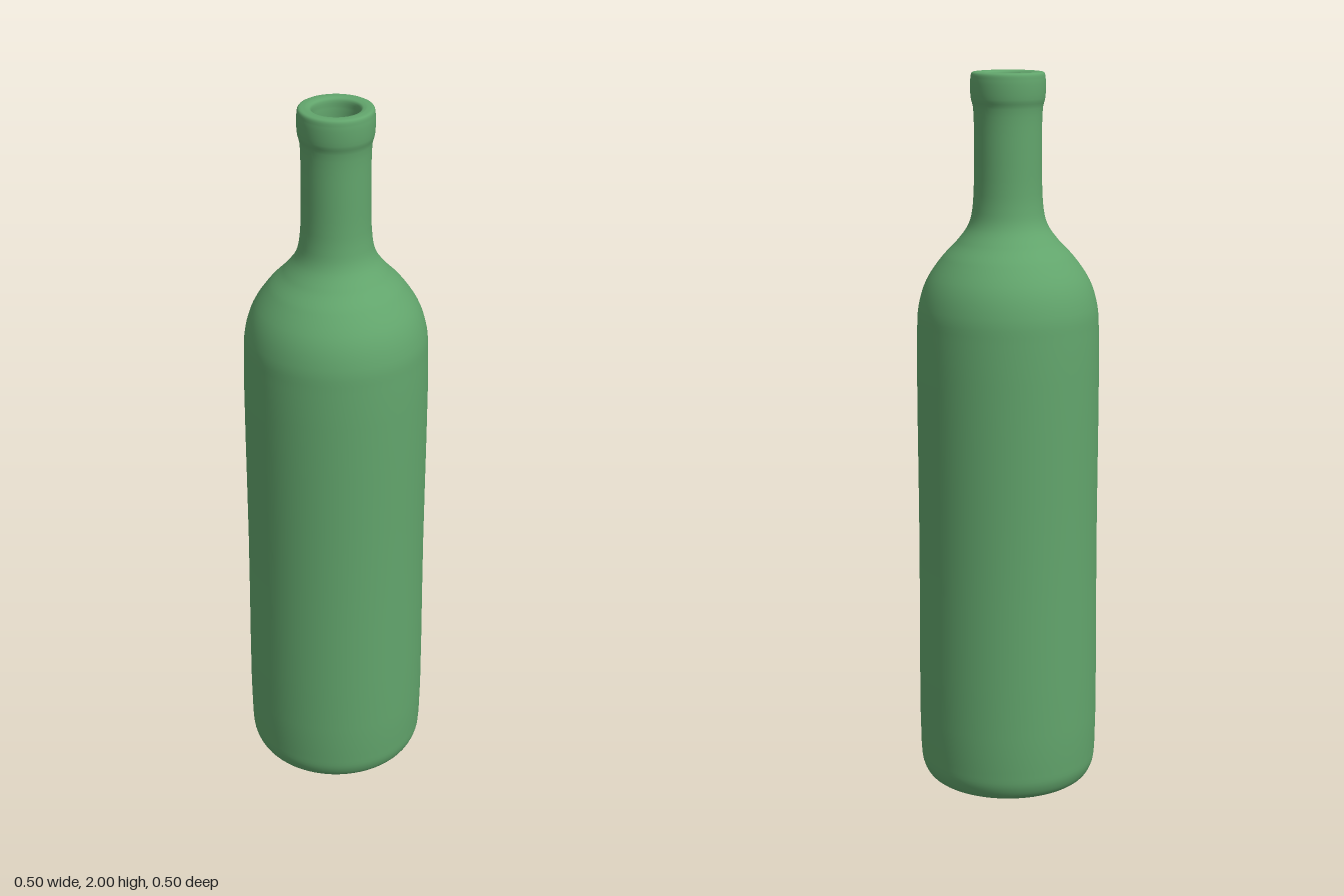
import * as THREE from 'three';

const SIDES = 64, STEPS = 4; // around the axis, rows per profile point

// Paired wall profile from lip to base centre: outer r, outer y, inner r, inner y
const WALL = [
  [0.08, 2.0, 0.08, 2.0],
  [0.097, 1.997, 0.066, 1.995],
  [0.101, 1.98, 0.063, 1.97],
  [0.1, 1.93, 0.063, 1.93],
  [0.094, 1.905, 0.063, 1.905],
  [0.092, 1.8, 0.063, 1.8],
  [0.096, 1.64, 0.065, 1.64],
  [0.108, 1.59, 0.078, 1.575],
  [0.14, 1.545, 0.115, 1.525],
  [0.182, 1.5, 0.158, 1.477],
  [0.225, 1.435, 0.197, 1.42],
  [0.245, 1.37, 0.216, 1.36],
  [0.25, 1.3, 0.22, 1.3],
  [0.25, 0.7, 0.22, 0.7],
  [0.25, 0.09, 0.22, 0.13],
  [0.244, 0.04, 0.215, 0.1],
  [0.228, 0.011, 0.2, 0.08],
  [0.208, 0.001, 0.185, 0.075],
  [0.19, 0.012, 0.17, 0.08],
  [0.145, 0.06, 0.13, 0.1],
  [0.075, 0.09, 0.07, 0.12],
  [0, 0.1, 0, 0.13],
];

// Centres of the shards; each shard is the part of the wall nearest its centre
const CENTRES = [
  [0.05, 1.40, 0.12], [0.05, 1.30, -0.16], [-0.245, 1.22, 0.108], // neck and shoulder
  [0.05, 1.08, 0.12], [-0.08, 0.92, 0.14], [0.2, 0.89, 0.15], [0.2, 0.69, 0.15], // front
  [0.25, 1.06, -0.03], [0.25, 0.84, 0.04], [0.25, 0.755, 0], [0.24, 0.87, -0.1],
  [0.25, 0.675, -0.01], [0.2, 0.71, -0.16], // small pieces on the +x side
  [0.25, 0.46, 0], [0.2, 0.46, -0.19], [0.13, 0.4, 0.2], [-0.09, 0.28, 0.19], // lower body
  [-0.25, 0.72, 0.05], [0, 1.06, -0.22], [-0.05, 0.62, -0.22], [-0.22, 0.6, -0.12], // back
  [0.12, -0.05, 0.1], [0.12, 0.12, -0.17], [-0.14, 0.2, -0.17], // base
];

// Grid of wall points: outer position, outer normal, inner position, inner normal
function wallGrid() {
  const curve = (c) => new THREE.CatmullRomCurve3(
    WALL.map((p) => new THREE.Vector3(p[c], p[c + 1], 0)));
  const outer = curve(0), inner = curve(2);
  const rows = (WALL.length - 1) * STEPS, grid = [];
  for (let i = 0; i <= rows; i++) {
    const t = i / rows, row = [];
    const o = outer.getPoint(t), n = inner.getPoint(t);
    const ot = outer.getTangent(t), nt = inner.getTangent(t);
    if (i === 0) { ot.set(1, 0, 0); nt.set(-1, 0, 0); }
    if (i === rows) { ot.set(-1, 0, 0); nt.set(-1, 0, 0); o.x = n.x = 0; }
    // inner surface faces the hollow; at the lip both run into one another
    const nn = [nt.y, -nt.x];
    for (let j = 0; j <= SIDES; j++) {
      const a = (j / SIDES) * Math.PI * 2, s = Math.sin(a), c = Math.cos(a);
      const spin = (r, y) => [r * s, y, r * c];
      row.push([...spin(o.x, o.y), ...spin(-ot.y, ot.x), ...spin(n.x, n.y), ...spin(nn[0], nn[1])]);
    }
    grid.push(row);
  }
  return grid;
}

// Signed distance of a wall point to a plane [nx, ny, nz, d]
const side = (p, k) => p[0] * k[0] + p[1] * k[1] + p[2] * k[2] - k[3];

// Keep the part of a polygon on the positive side of a plane
function clip(poly, plane) {
  const out = [];
  poly.forEach((p, i) => {
    const q = poly[(i + 1) % poly.length], a = side(p, plane), b = side(q, plane);
    if (a >= 0) out.push(p);
    if ((a < 0) !== (b < 0)) out.push(p.map((v, m) => v + (q[m] - v) * (a / (a - b))));
  });
  return out;
}

function shardGeometry(triangles, centre) {
  const c = new THREE.Vector3(...centre);
  const planes = CENTRES.filter((o) => o !== centre).map((o) => {
    const other = new THREE.Vector3(...o), n = c.clone().sub(other).normalize();
    return [n.x, n.y, n.z, n.dot(c.clone().add(other).multiplyScalar(0.5))];
  });
  const pos = [], nor = [];
  const add = (p, n) => { pos.push(...p); nor.push(...n); };

  for (const tri of triangles) {
    let poly = tri;
    const cuts = [];
    for (const k of planes) {
      if (poly.every((p) => side(p, k) >= 0)) continue;
      poly = clip(poly, k);
      cuts.push(k);
      if (poly.length < 3) break;
    }
    if (poly.length < 3) continue;

    // outer and inner skins
    for (let i = 1; i < poly.length - 1; i++) {
      for (const p of [poly[0], poly[i], poly[i + 1]]) add(p.slice(0, 3), p.slice(3, 6));
      for (const p of [poly[0], poly[i + 1], poly[i]]) add(p.slice(6, 9), p.slice(9, 12));
    }
    // broken edges through the wall
    poly.forEach((p, i) => {
      const q = poly[(i + 1) % poly.length];
      const k = cuts.find((m) => Math.abs(side(p, m)) < 1e-7 && Math.abs(side(q, m)) < 1e-7);
      if (!k) return;
      const n = [-k[0], -k[1], -k[2]];
      const a = p.slice(0, 3), b = p.slice(6, 9), d = q.slice(6, 9), e = q.slice(0, 3);
      for (const v of [a, b, d, a, d, e]) add(v, n);
    });
  }
  const geometry = new THREE.BufferGeometry();
  geometry.setAttribute('position', new THREE.Float32BufferAttribute(pos, 3));
  geometry.setAttribute('normal', new THREE.Float32BufferAttribute(nor, 3));
  return geometry;
}

export function createModel() {
  const bottle = new THREE.Group();
  bottle.name = 'brokenBottle';
  const glass = new THREE.MeshStandardMaterial({ color: 0x62a56c });

  const grid = wallGrid(), triangles = [];
  for (let i = 0; i < grid.length - 1; i++) {
    for (let j = 0; j < SIDES; j++) {
      const a = grid[i][j], b = grid[i + 1][j], c = grid[i + 1][j + 1], d = grid[i][j + 1];
      if (i < grid.length - 2) triangles.push([a, b, c]);
      triangles.push([a, i < grid.length - 2 ? c : b, d]);
    }
  }

  CENTRES.forEach((centre, i) => {
    const shard = new THREE.Mesh(shardGeometry(triangles, centre), glass);
    shard.name = i === 0 ? 'neckShard' : `shard${i}`;
    bottle.add(shard);
  });
  return bottle;
}
